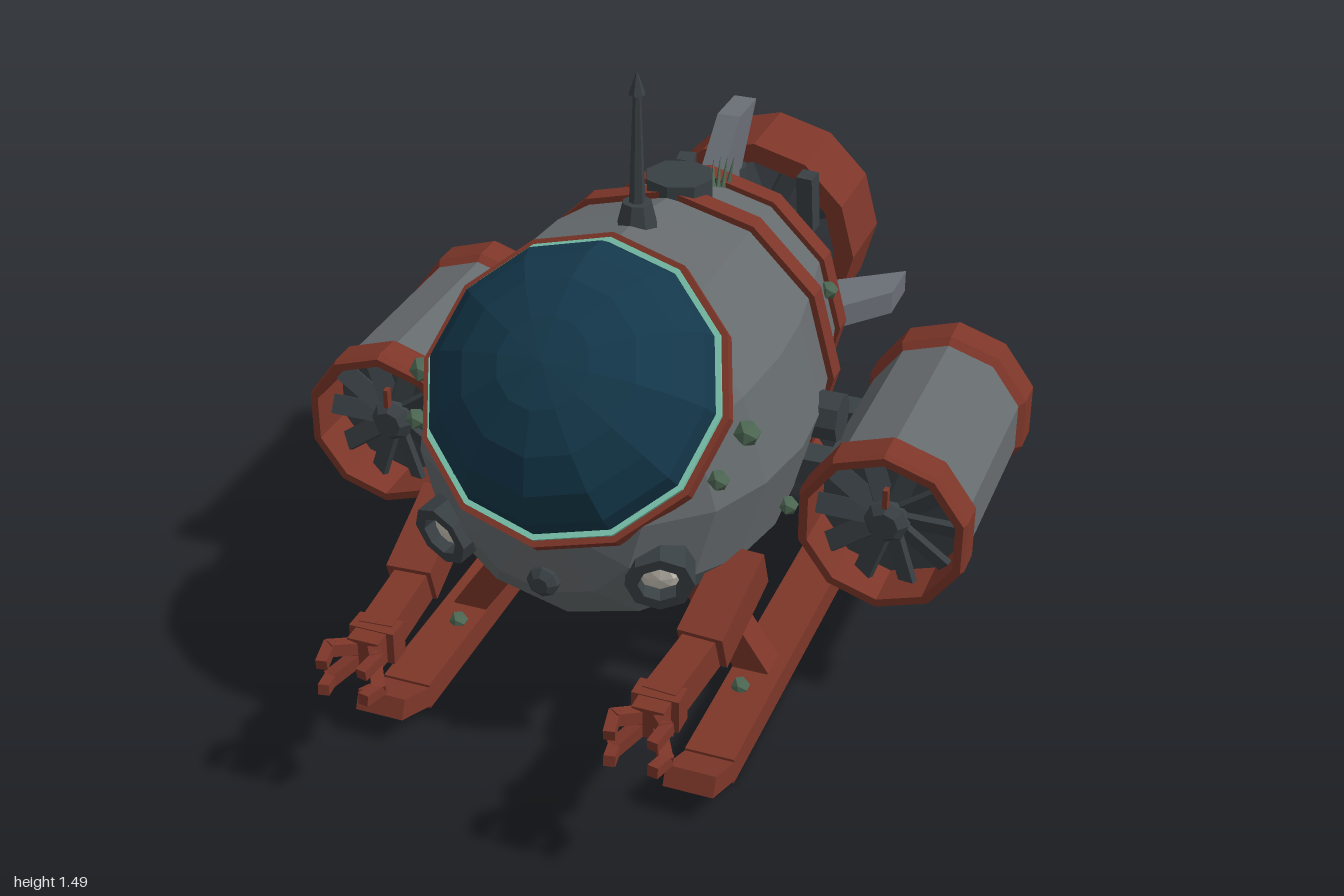
import * as THREE from 'three';

const paint = (color, side = THREE.FrontSide) =>
  new THREE.MeshStandardMaterial({ color, flatShading: true, side });
const HULL = paint(0x666b6e), DARK = paint(0x394044), RED = paint(0x7d3629), GLASS = paint(0x14384b),
  MINT = paint(0x7cc7b0), LAMP = paint(0xcfc9bd), ALGAE = paint(0x4f6a55), FIN = paint(0x6a6f76);
const AXIS = 0.667; // height of the hull's centre line

function add(parent, name, geo, mat, x = 0, y = 0, z = 0) {
  const m = new THREE.Mesh(geo, mat);
  m.name = name;
  m.position.set(x, y, z);
  parent.add(m);
  return m;
}

function group(parent, name, x = 0, y = 0, z = 0) {
  const g = new THREE.Group();
  g.name = name;
  g.position.set(x, y, z);
  parent.add(g);
  return g;
}

// Revolved profile of [radius, z] pairs, running along z
const lathe = (pts, sides) =>
  new THREE.LatheGeometry(pts.map(p => new THREE.Vector2(p[0], p[1])), sides).rotateX(Math.PI / 2);

// Hollow ring with a rectangular section, running along z
const ring = (inner, outer, z0, z1, sides) =>
  lathe([[inner, z0], [outer, z0], [outer, z1], [inner, z1], [inner, z0]], sides);

// Box stretched between two points
function beam(parent, name, a, b, w, h, mat) {
  const A = new THREE.Vector3(...a), B = new THREE.Vector3(...b);
  const m = add(parent, name, new THREE.BoxGeometry(w, h, A.distanceTo(B)), mat);
  m.position.copy(A).add(B).multiplyScalar(0.5);
  m.lookAt(B);
  return m;
}

// Hub and twisted blades, facing z
function fan(parent, name, radius, blades, width, pitch, z) {
  const g = group(parent, name, 0, 0, z);
  add(g, 'hub', lathe([[0, -0.04], [0.055, -0.04], [0.055, 0.025], [0.035, 0.05], [0, 0.05]], 8), DARK);
  for (let i = 0; i < blades; i++) {
    const arm = group(g, 'blade');
    arm.rotation.z = (i + 0.5) / blades * Math.PI * 2;
    add(arm, 'bladePlate', new THREE.BoxGeometry(width, radius - 0.03, 0.015), DARK,
      0, (radius + 0.03) / 2, 0).rotation.y = pitch;
  }
  return g;
}

function buildHull(root) {
  const hull = group(root, 'hull', 0, AXIS, 0);
  add(hull, 'hullShell', lathe([[0, -0.76], [0.1, -0.752], [0.2, -0.7], [0.28, -0.58], [0.355, -0.38],
    [0.413, -0.13], [0.445, 0.03], [0.455, 0.2], [0.425, 0.38], [0.36, 0.53], [0.23, 0.645], [0, 0.695]], 12), HULL);
  add(hull, 'frontBand', ring(0.38, 0.43, -0.18, -0.125, 12), RED);
  add(hull, 'rearBand', ring(0.32, 0.37, -0.43, -0.375, 12), RED);

  // Domed canopy tilted upward
  const canopy = group(root, 'canopy', 0, 0.865, 0.46);
  canopy.rotation.x = -0.736;
  const dome = [];
  for (let i = 0; i <= 5; i++) {
    const a = i / 5 * Math.PI / 2;
    dome.push([0.345 * Math.cos(a), 0.25 * Math.sin(a)]);
  }
  add(canopy, 'canopyGlass', lathe(dome, 12), GLASS);
  add(canopy, 'canopyFrame', ring(0.31, 0.367, -0.02, 0.018, 12), RED);
  add(canopy, 'canopySeal', ring(0.32, 0.352, 0.01, 0.028, 12), MINT);

  // Mast, hatch and rear cap on top
  add(root, 'antennaBase', new THREE.CylinderGeometry(0.035, 0.05, 0.06, 8), DARK, 0, 1.13, 0.08);
  add(root, 'antennaMast', new THREE.CylinderGeometry(0.009, 0.02, 0.3, 6), DARK, 0, 1.29, 0.08);
  add(root, 'antennaTip', new THREE.ConeGeometry(0.02, 0.06, 6), DARK, 0, 1.455, 0.08);
  add(root, 'hatch', new THREE.CylinderGeometry(0.085, 0.085, 0.09, 8), DARK, 0, 1.065, -0.2);
  add(root, 'rearCap', new THREE.CylinderGeometry(0.04, 0.04, 0.06, 8), DARK, 0, 0.94, -0.59);

  // Three swept fins
  for (const angle of [0, Math.PI / 2, -Math.PI / 2]) {
    const s = new THREE.Shape([[-0.4, 0.32], [-0.56, 0.453], [-0.69, 0.453], [-0.55, 0.26]]
      .map(p => new THREE.Vector2(-p[0], p[1])));
    const geo = new THREE.ExtrudeGeometry(s, { depth: 0.06, bevelEnabled: false })
      .translate(0, 0, -0.03).rotateY(Math.PI / 2);
    add(hull, 'tailFin', geo, FIN).rotation.z = angle;
  }

  // Lamps and nose sensor
  for (const s of [-1, 1]) {
    const lamp = group(root, 'headlight', 0.245 * s, 0.53, 0.57);
    lamp.rotation.set(0.2, 0.35 * s, 0, 'YXZ');
    add(lamp, 'lampHousing', ring(0.05, 0.078, -0.07, 0.07, 8), DARK);
    add(lamp, 'lampLens', lathe([[0.055, 0.03], [0.03, 0.05], [0, 0.055]], 8), LAMP);
    const port = add(root, 'sidePort', new THREE.CylinderGeometry(0.06, 0.06, 0.09, 8), DARK, 0.445 * s, 0.64, 0);
    port.rotation.z = Math.PI / 2;
  }
  add(root, 'noseSensor', lathe([[0.04, -0.06], [0.038, 0.02], [0.02, 0.035], [0, 0.035]], 8), DARK, 0, 0.48, 0.65);
}

function buildRearThruster(root) {
  const t = group(root, 'rearThruster', 0, AXIS, 0);
  add(t, 'duct', lathe([[0.235, -0.77], [0.215, -0.89], [0.24, -1], [0.287, -1], [0.287, -0.77],
    [0.235, -0.77]], 12), RED);
  fan(t, 'rearFan', 0.2, 8, 0.055, 0.6, -0.89);
  add(t, 'driveShaft', lathe([[0.03, -0.9], [0.03, -0.7]], 8), DARK);
  for (const sx of [-1, 1]) for (const sy of [-1, 1])
    beam(t, 'ductStrut', [0.16 * sx, 0.16 * sy, -0.64], [0.18 * sx, 0.18 * sy, -0.8], 0.045, 0.045, DARK);
}

function buildPod(root, s) {
  const p = group(root, s > 0 ? 'leftPod' : 'rightPod', 0.645 * s, 0.465, 0);
  add(p, 'podBody', lathe([[0.197, -0.42], [0.197, 0.1]], 10), HULL);
  add(p, 'rearCollar', lathe([[0.19, -0.525], [0.205, -0.515], [0.212, -0.5], [0.212, -0.42],
    [0.195, -0.395]], 10), RED);
  add(p, 'podTail', lathe([[0, -0.575], [0.1, -0.565], [0.195, -0.52]], 10), HULL);
  add(p, 'intakeCollar', lathe([[0.195, 0.075], [0.212, 0.1], [0.212, 0.175], [0.205, 0.19],
    [0.185, 0.19], [0.185, 0.05]], 10), RED);
  add(p, 'intakeBack', lathe([[0.19, 0.06], [0, 0.06]], 10), DARK);
  fan(p, 'intakeFan', 0.185, 10, 0.05, 0.5, 0.11);
  add(p, 'intakeVane', new THREE.BoxGeometry(0.012, 0.05, 0.02), RED, 0, 0.075, 0.15);
  // Brackets to the hull
  for (const z of [-0.25, 0])
    add(p, 'podBracket', new THREE.BoxGeometry(0.16, 0.07, 0.08), DARK, -0.24 * s, 0.03, z);
}

function buildSkid(root, s) {
  const g = group(root, s > 0 ? 'leftSkid' : 'rightSkid');
  const x = 0.385 * s;
  add(g, 'runner', new THREE.BoxGeometry(0.12, 0.068, 1.35), RED, x, 0.034, -0.055);
  beam(g, 'runnerToe', [x, 0.03, 0.61], [x, 0.093, 0.755], 0.12, 0.05, RED);
  for (const z of [0.25, -0.46])
    beam(g, 'skidLeg', [0.385 * s, 0.05, z], [0.19 * s, 0.34, z], 0.08, 0.075, RED);
  for (const z of [0.36, -0.53])
    add(g, 'algaeClump', new THREE.IcosahedronGeometry(0.024, 0), ALGAE, 0.37 * s, 0.073, z);
}

function buildArm(root, s) {
  const g = group(root, s > 0 ? 'leftArm' : 'rightArm');
  beam(g, 'upperArm', [0.375 * s, 0.435, 0.37], [0.36 * s, 0.352, 0.61], 0.11, 0.1, RED);
  beam(g, 'forearm', [0.36 * s, 0.345, 0.57], [0.34 * s, 0.345, 0.83], 0.08, 0.085, RED);
  add(g, 'wrist', new THREE.BoxGeometry(0.11, 0.08, 0.055), RED, 0.34 * s, 0.345, 0.825);
  add(g, 'palm', new THREE.BoxGeometry(0.075, 0.075, 0.05), RED, 0.34 * s, 0.345, 0.87);
  // Four bent claw fingers
  for (let i = 0; i < 4; i++) {
    const a = Math.PI / 4 + i * Math.PI / 2;
    const at = (r, z) => [0.34 * s + 1.15 * r * Math.cos(a), 0.34 + 0.8 * r * Math.sin(a), z];
    beam(g, 'claw', at(0.025, 0.88), at(0.075, 0.945), 0.03, 0.03, RED);
    beam(g, 'clawTip', at(0.075, 0.93), at(0.06, 0.995), 0.026, 0.026, RED);
  }
}

function buildGrowth(root) {
  // Clumps beside the canopy and pods, and a tuft by the rear band
  for (const s of [-1, 1])
    for (const [x, y, z, r] of [[0.395, 0.82, 0.43, 0.032], [0.365, 0.75, 0.53, 0.026],
      [0.425, 0.5, 0.2, 0.025], [0.34, 0.78, -0.36, 0.025]])
      add(root, 'algaeClump', new THREE.IcosahedronGeometry(r, 0), ALGAE, x * s, y, z);
  for (let i = 0; i < 4; i++) {
    const blade = add(root, 'weedBlade', new THREE.ConeGeometry(0.008, 0.09, 4), ALGAE,
      0.03 + 0.012 * i, 1.045, -0.36 - 0.01 * i);
    blade.rotation.set(-0.5 + 0.12 * i, 0, 0.15 - 0.1 * i);
  }
}

export function createModel() {
  const root = new THREE.Group();
  root.name = 'submersible';
  buildHull(root);
  buildRearThruster(root);
  for (const s of [-1, 1]) {
    buildPod(root, s);
    buildSkid(root, s);
    buildArm(root, s);
  }
  buildGrowth(root);
  return root;
}
